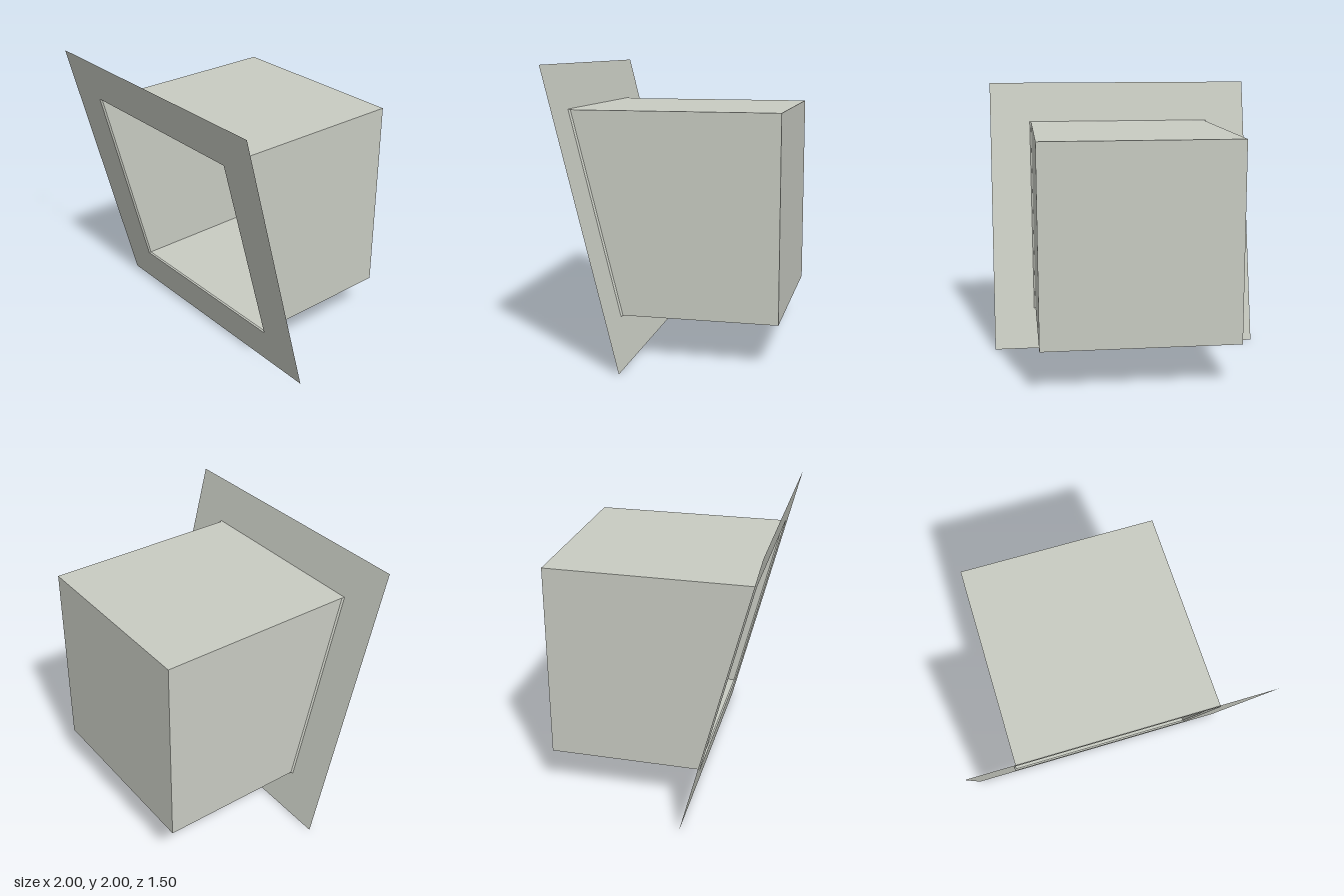
import * as THREE from 'three';

// Depth of the tilted front plane at a given height
const slopeZ = (y) => 0.25 + y / 4;

// Rectangular loop of four corners; zAt gives the depth for each height
function loop(halfX, y0, y1, zAt) {
  return [[-halfX, y0], [halfX, y0], [halfX, y1], [-halfX, y1]]
    .map(([x, y]) => [x, y, zAt(y)]);
}

// Flat quads joining two loops, front loop first, facing outward
function walls(front, back) {
  const positions = [];
  for (let i = 0; i < 4; i++) {
    const j = (i + 1) % 4;
    positions.push(...front[i], ...back[i], ...back[j], ...front[i], ...back[j], ...front[j]);
  }
  const geometry = new THREE.BufferGeometry();
  geometry.setAttribute('position', new THREE.Float32BufferAttribute(positions, 3));
  geometry.computeVertexNormals();
  return geometry;
}

export function createModel() {
  const group = new THREE.Group();
  const material = new THREE.MeshStandardMaterial({ color: 0xc8cbc2, side: THREE.DoubleSide });
  material.name = 'pale grey';
  const add = (name, geometry) => {
    const mesh = new THREE.Mesh(geometry, material);
    mesh.name = name;
    group.add(mesh);
    return mesh;
  };

  const opening = loop(0.697, 0.297, 1.703, slopeZ);
  const mouth = loop(0.687, 0.305, 1.698, (y) => slopeZ(y) - 0.012);
  const rear = loop(0.687, 0.305, 1.698, () => -0.75);

  // Thin square frame with an opening, sheared onto the sloping plane
  const shape = new THREE.Shape(loop(1, 0, 2, slopeZ).map(([x, y]) => new THREE.Vector2(x, y)));
  shape.holes.push(new THREE.Path(opening.map(([x, y]) => new THREE.Vector2(x, y))));
  const frame = new THREE.ShapeGeometry(shape);
  const p = frame.attributes.position;
  for (let i = 0; i < p.count; i++) p.setZ(i, slopeZ(p.getY(i)));
  frame.computeVertexNormals();
  add('slopingFrame', frame);

  // Narrow lip leading from the frame into the box
  add('openingLip', walls(opening, mouth));

  // Hollow box behind the frame
  add('boxWalls', walls(mouth, rear));
  const back = add('backWall', new THREE.PlaneGeometry(1.374, 1.393));
  back.position.set(0, 1.0015, -0.75);
  back.rotation.y = Math.PI;

  return group;
}
